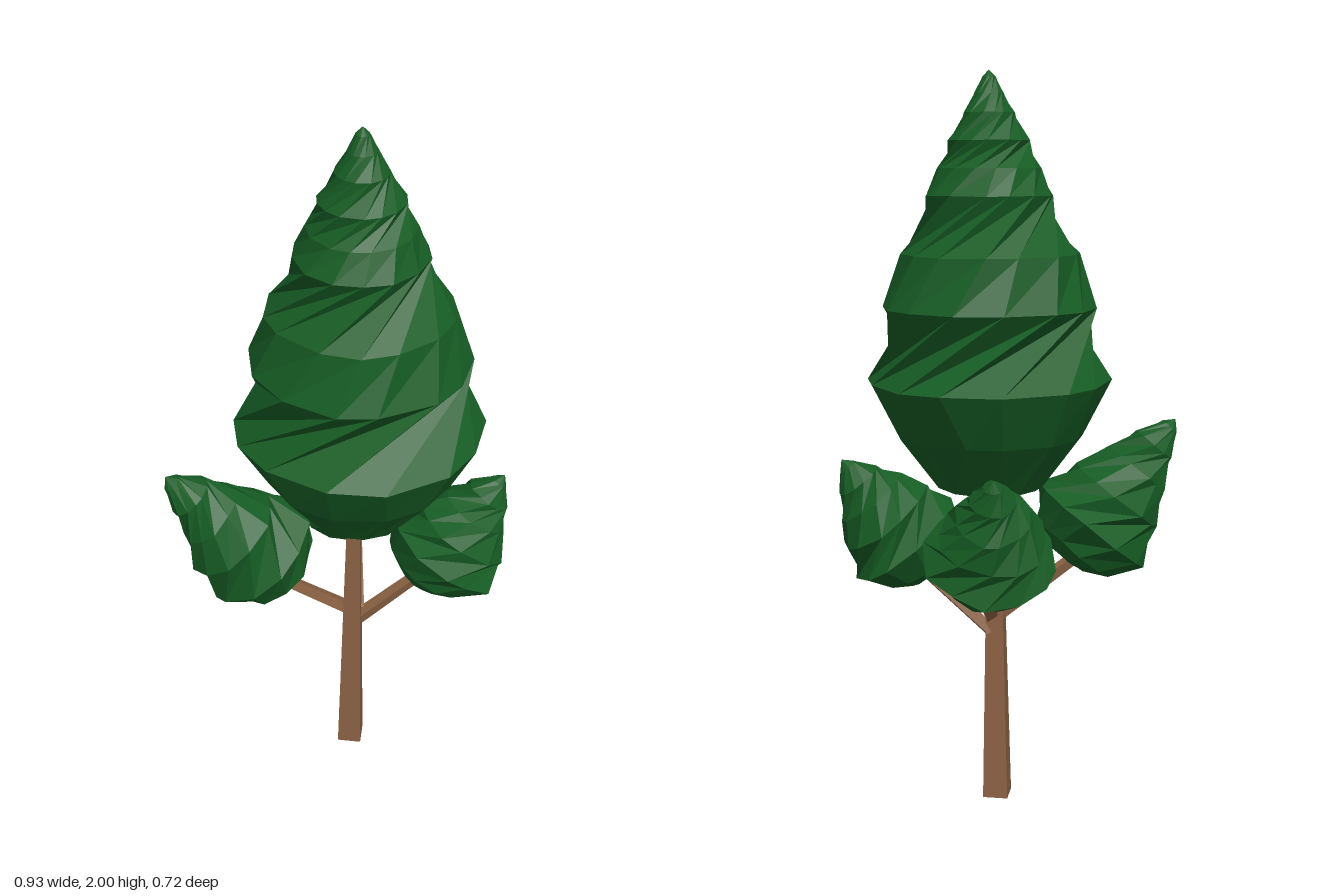
import * as THREE from 'three';

const leaf = new THREE.MeshStandardMaterial({ color: 0x165c24, flatShading: true });
const bark = new THREE.MeshStandardMaterial({ color: 0x8b6244, flatShading: true });

function seeded(seed) {
  return () => (seed = (seed * 16807) % 2147483647) / 2147483647;
}

// Lofts rings of [height, radius, twist in segments] into a closed, faceted, swirling body
function foliage(rings, sides, jitter, seed) {
  const rand = seeded(seed);
  const pos = [], index = [];
  let turn = 0;
  rings.forEach(([y, r, twist]) => {
    turn += twist;
    for (let i = 0; i < sides; i++) {
      const a = ((i + turn + (rand() - 0.5) * 0.4) / sides) * Math.PI * 2;
      const rr = r * (1 + (rand() - 0.5) * jitter);
      pos.push(Math.sin(a) * rr, y + (rand() - 0.5) * jitter * r * 0.4, Math.cos(a) * rr);
    }
  });
  for (let k = 0; k < rings.length - 1; k++) {
    for (let i = 0; i < sides; i++) {
      const j = (i + 1) % sides;
      const a = k * sides + i, b = k * sides + j, c = a + sides, d = b + sides;
      index.push(a, b, d, a, d, c);
    }
  }
  // Base cap and tip
  const base = pos.length / 3, tip = base + 1, last = (rings.length - 1) * sides;
  const top = rings[rings.length - 1];
  pos.push(0, rings[0][0], 0, 0, top[0] + top[1], 0);
  for (let i = 0; i < sides; i++) {
    const j = (i + 1) % sides;
    index.push(base, j, i, tip, last + i, last + j);
  }
  const geo = new THREE.BufferGeometry();
  geo.setAttribute('position', new THREE.Float32BufferAttribute(pos, 3));
  geo.setIndex(index);
  const flat = geo.toNonIndexed();
  flat.computeVertexNormals();
  return flat;
}

// Tapered square beam between two points
function beam(from, to, r0, r1, spin) {
  const a = new THREE.Vector3(...from), b = new THREE.Vector3(...to);
  const dir = b.clone().sub(a);
  const geo = new THREE.CylinderGeometry(r1, r0, dir.length(), 4);
  geo.rotateY(Math.PI / 4 + spin);
  const mesh = new THREE.Mesh(geo, bark);
  mesh.position.copy(a).add(b).multiplyScalar(0.5);
  mesh.quaternion.setFromUnitVectors(new THREE.Vector3(0, 1, 0), dir.normalize());
  return mesh;
}

export function createModel() {
  const tree = new THREE.Group();
  tree.name = 'tree';

  const trunk = beam([0.043, 0, 0.02], [0.047, 0.95, 0.03], 0.049, 0.023, -0.3);
  trunk.name = 'trunk';
  tree.add(trunk);

  // Main crown
  const crownRings = [
    [0.905, 0.145, 0], [1.05, 0.255, 0], [1.195, 0.33, 0], [1.39, 0.285, 2],
    [1.53, 0.24, 0.5], [1.68, 0.17, 2], [1.75, 0.135, 0.6], [1.82, 0.108, 1.5],
    [1.89, 0.068, 1.5], [1.94, 0.038, 1], [1.98, 0.018, 1],
  ];
  const crown = new THREE.Mesh(foliage(crownRings, 14, 0.03, 11), leaf);
  crown.name = 'crown';
  crown.position.set(0.06, 0, 0.02);
  tree.add(crown);

  // Side clumps, each at the end of a branch and tilted outward
  const profile = [
    [-0.115, 0.07, 0], [-0.08, 0.125, 0], [0, 0.178, 0.4], [0.08, 0.145, 1.2],
    [0.15, 0.1, 0.6], [0.21, 0.062, 1.2], [0.26, 0.025, 0.8],
  ];
  const clumps = [
    { name: 'right', at: [-0.22, 0.785, 0.02], tip: [-0.46, 1.08, 0.02], foot: [0.045, 0.53, 0.025], end: [-0.19, 0.7, 0.02] },
    { name: 'left', at: [0.295, 0.755, 0.06], tip: [0.46, 0.98, 0.05], foot: [0.06, 0.49, 0.02], end: [0.25, 0.67, 0.05] },
    { name: 'rear', at: [0.085, 0.765, -0.195], tip: [0.1, 1.0, -0.35], foot: [0.06, 0.53, 0.02], end: [0.085, 0.71, -0.14] },
  ];
  clumps.forEach(({ name, at, tip, foot, end }, i) => {
    const centre = new THREE.Vector3(...at);
    const axis = new THREE.Vector3(...tip).sub(centre);
    const stretch = axis.length() / 0.285;
    const rings = profile.map(([y, r, t]) => [y > 0 ? y * stretch : y, r, t]);
    const clump = new THREE.Mesh(foliage(rings, 12, 0.13, 101 + i * 37), leaf);
    clump.name = name + 'Clump';
    clump.position.copy(centre);
    clump.quaternion.setFromUnitVectors(new THREE.Vector3(0, 1, 0), axis.normalize());
    const branch = beam(foot, end, 0.022, 0.018, 0.2);
    branch.name = name + 'Branch';
    tree.add(clump, branch);
  });

  return tree;
}
